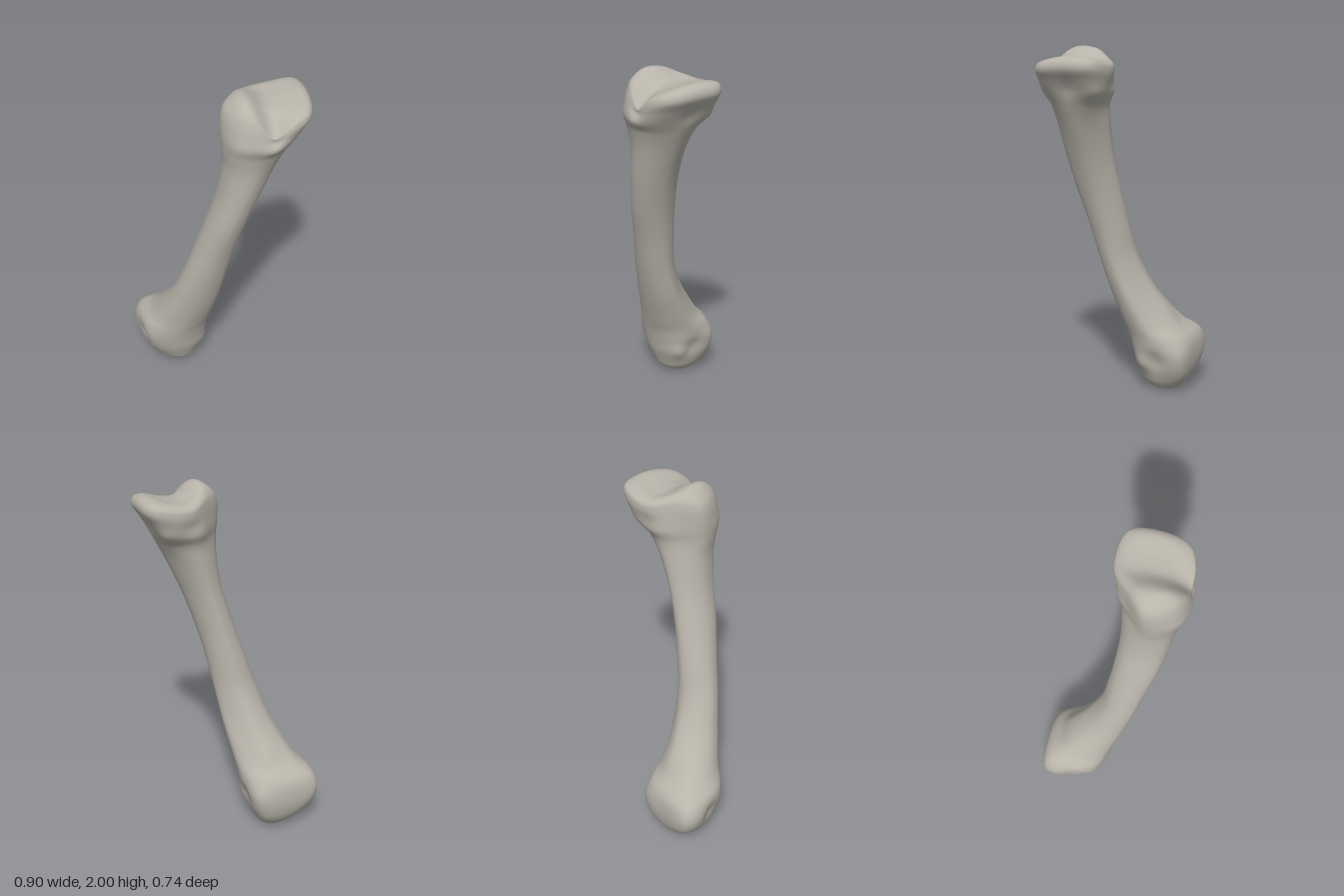
import * as THREE from 'three';
import { mergeVertices } from 'three/addons/utils/BufferGeometryUtils.js';

// Cross-sections: [y, xMin, xMax, zMin, zMax, then corner fullness at (-x-z), (+x-z), (+x+z), (-x+z)]
const head = [
  [0.0, -0.205, -0.195, -0.205, -0.195, 0.7, 0.7, 0.7, 0.7],
  [0.012, -0.27, -0.135, -0.27, -0.125, 0.72, 0.72, 0.7, 0.7],
  [0.05, -0.33, -0.10, -0.315, -0.062, 0.76, 0.78, 0.72, 0.67],
  [0.1, -0.385, -0.073, -0.347, -0.037, 0.8, 0.82, 0.73, 0.67],
  [0.17, -0.43, -0.04, -0.367, -0.01, 0.86, 0.82, 0.73, 0.69],
  [0.25, -0.446, -0.025, -0.37, 0.01, 0.89, 0.82, 0.72, 0.71],
  [0.33, -0.428, -0.02, -0.354, 0.03, 0.87, 0.74, 0.72, 0.7],
  [0.41, -0.365, -0.012, -0.285, 0.052, 0.78, 0.64, 0.72, 0.72],
];
const shaft = [
  [0.6, -0.275, 0.015, -0.15, 0.108, 0.7, 0.6, 0.72, 0.74],
  [0.8, -0.21, 0.04, -0.06, 0.16, 0.7, 0.66, 0.72, 0.73],
  [1.0, -0.15, 0.075, -0.025, 0.205, 0.7, 0.68, 0.72, 0.72],
  [1.2, -0.09, 0.125, 0.0, 0.255, 0.7, 0.67, 0.72, 0.72],
  [1.4, -0.035, 0.195, 0.015, 0.29, 0.7, 0.65, 0.7, 0.72],
  [1.6, -0.012, 0.285, 0.01, 0.315, 0.66, 0.68, 0.67, 0.74],
];
const base = [
  [1.7, -0.018, 0.335, 0.0, 0.338, 0.61, 0.76, 0.68, 0.75],
  [1.78, -0.022, 0.378, -0.038, 0.366, 0.58, 0.82, 0.7, 0.75],
  [1.86, -0.022, 0.418, -0.053, 0.364, 0.56, 0.83, 0.74, 0.74],
  [1.93, -0.016, 0.448, -0.056, 0.357, 0.56, 0.85, 0.78, 0.73],
  [1.975, 0.0, 0.438, -0.047, 0.343, 0.56, 0.85, 0.79, 0.72],
  [2.0, 0.04, 0.4, -0.01, 0.3, 0.57, 0.82, 0.78, 0.72],
  [2.0, 0.11, 0.32, 0.06, 0.23, 0.6, 0.78, 0.75, 0.7],
  [2.0, 0.195, 0.205, 0.14, 0.15, 0.7, 0.7, 0.7, 0.7],
];

// Bumps and hollows: [x, y, z, radius, outward push]
const reliefs = [
  [-0.43, 0.22, -0.16, 0.07, -0.034],
  [-0.04, 0.2, -0.19, 0.07, -0.026],
  [-0.03, 0.17, -0.09, 0.05, 0.016],
  [-0.22, 0.4, -0.28, 0.08, -0.012],
  [0.42, 1.8, 0.13, 0.08, -0.022],
  [0.36, 1.76, -0.03, 0.05, 0.014],
  [0.2, 1.84, -0.05, 0.07, -0.016],
  [0.22, 1.9, 0.36, 0.05, -0.016],
];

const bell = (d, r) => Math.exp(-(d * d) / (r * r));
const step = THREE.MathUtils.smoothstep;

// Height of the saddle-like top: a domed ridge, a shallow valley notched at the front, a raised rim
function topHeight(x, z) {
  const front = step(z, 0.2, 0.37);
  return 1.945 + 0.06 * bell(x - 0.09, 0.078) * bell(z - 0.21, 0.16)
    + 0.024 * step(x, 0.28, 0.42) - 0.01 * bell(x - 0.22, 0.06)
    - 0.075 * bell(x - 0.215, 0.065) * front - 0.03 * step(z, 0.1, 0.37);
}

// Smooth closed outline through eight points of one section
function ring([y, x0, x1, z0, z1, nn, pn, pp, np], count) {
  const cx = (x0 + x1) / 2, cz = (z0 + z1) / 2, hx = (x1 - x0) / 2, hz = (z1 - z0) / 2;
  const pts = [[1, 0], [pp, pp], [0, 1], [-np, np], [-1, 0], [-nn, -nn], [0, -1], [pn, -pn]]
    .map(([a, b]) => new THREE.Vector3(cx + a * hx, y, cz + b * hz));
  const curve = new THREE.CatmullRomCurve3(pts, true, 'catmullrom', 0.5);
  return Array.from({ length: count }, (_, i) => curve.getPoint(i / count));
}

// Press the reliefs into a section and settle the top onto its saddle shape
function sculpt(p, cx, cz) {
  const dir = new THREE.Vector3(p.x - cx, 0, p.z - cz);
  if (dir.length() > 0.02) {
    dir.normalize();
    let push = 0;
    for (const [x, y, z, r, amount] of reliefs)
      push += amount * bell(Math.hypot(p.x - x, p.y - y, p.z - z), r);
    p.addScaledVector(dir, push);
  }
  if (p.y > 1.7) p.y += (topHeight(p.x, p.z) - 2) * ((p.y - 1.7) / 0.3) ** 1.3;
  p.y = Math.max(p.y, 0);
  return p;
}

// Loft: rings joined lengthwise by smooth curves
function boneGeometry(around = 72, along = 150) {
  const rings = [...head, ...shaft, ...base].map((row) => ring(row, around));
  const columns = Array.from({ length: around }, (_, i) =>
    new THREE.CatmullRomCurve3(rings.map((r) => r[i]), false, 'centripetal'));
  const position = [], index = [];
  for (let j = 0; j <= along; j++) {
    const pts = columns.map((c) => c.getPoint(j / along));
    const cx = pts.reduce((s, p) => s + p.x, 0) / around;
    const cz = pts.reduce((s, p) => s + p.z, 0) / around;
    for (const p of pts) position.push(...sculpt(p, cx, cz).toArray());
  }
  for (let j = 0; j < along; j++) {
    for (let i = 0; i < around; i++) {
      const a = j * around + i, b = j * around + (i + 1) % around;
      index.push(a, a + around, b, b, a + around, b + around);
    }
  }
  // Close both small end openings
  for (let i = 1; i < around - 1; i++) {
    const t = along * around;
    index.push(0, i, i + 1, t, t + i + 1, t + i);
  }
  const g = new THREE.BufferGeometry();
  g.setAttribute('position', new THREE.Float32BufferAttribute(position, 3));
  g.setIndex(index);
  const merged = mergeVertices(g, 1e-5);
  merged.computeVertexNormals();
  return merged;
}

export function createModel() {
  const boneGrey = new THREE.MeshStandardMaterial({ color: 0xb8b4aa });
  boneGrey.name = 'boneGrey';
  const bone = new THREE.Mesh(boneGeometry(), boneGrey);
  bone.name = 'longBone';
  const group = new THREE.Group();
  group.name = 'bone';
  group.add(bone);
  return group;
}
